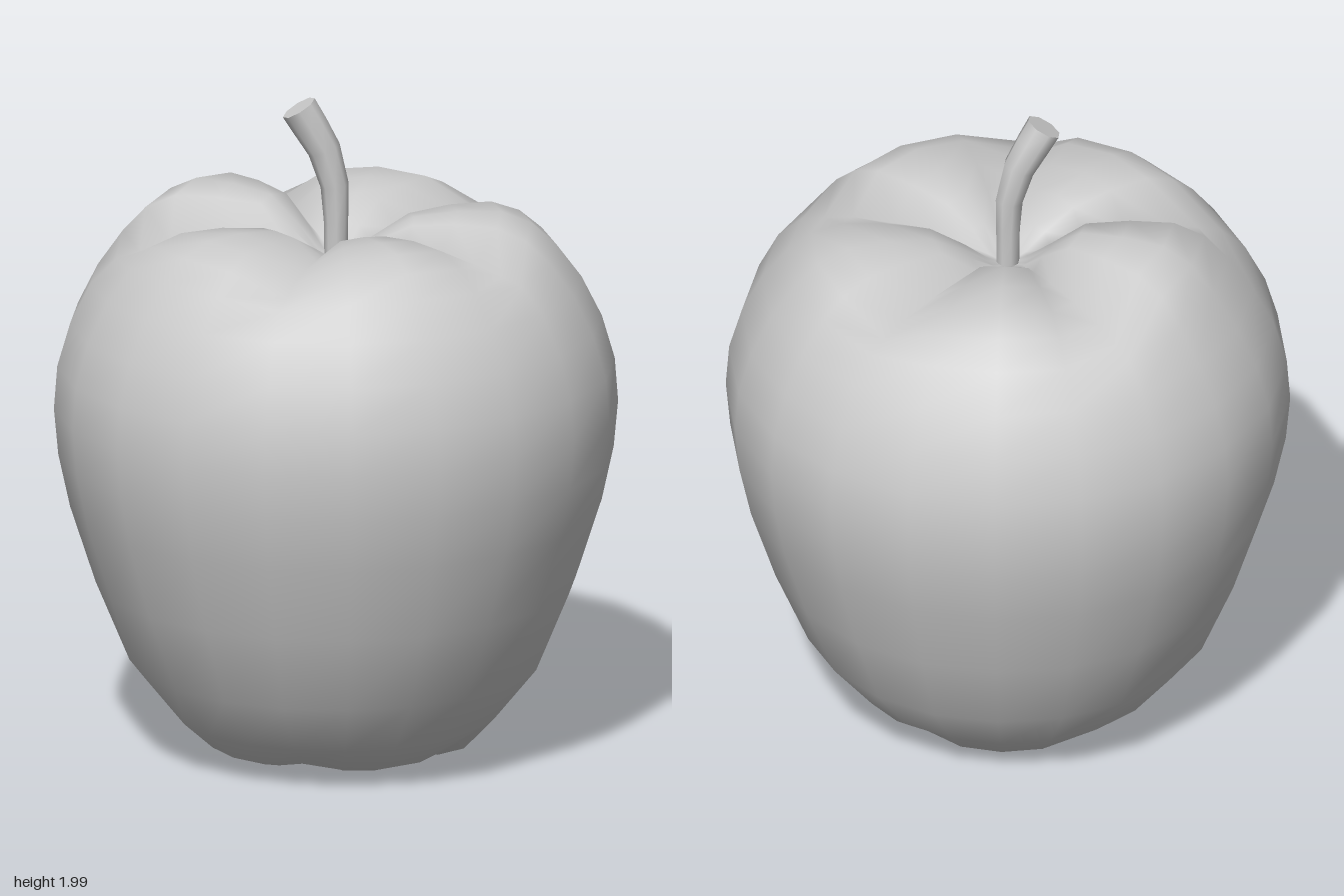
import * as THREE from 'three';

const SIDES = 20;

// Smooth skin over closed rings of points, listed so that faces point outward
function skin(rings) {
  const n = rings[0].length;
  const index = [];
  for (let i = 0; i < rings.length - 1; i++) {
    for (let j = 0; j < n; j++) {
      const k = (j + 1) % n;
      const a = i * n + j, b = i * n + k, c = a + n, d = b + n;
      index.push(a, c, b, b, c, d);
    }
  }
  const geometry = new THREE.BufferGeometry().setFromPoints(rings.flat());
  geometry.setIndex(index);
  geometry.computeVertexNormals();
  return geometry;
}

// Fruit profile from base dimple to stem dimple:
// radius, height, rise of the groove, how far the lobe's own height offset applies
const PROFILE = [
  [0.01, 0.11, 0, 0], [0.09, 0.085, 0.02, 0], [0.2, 0.02, 0.06, 1], [0.31, 0.0, 0.07, 1],
  [0.39, 0.03, 0.035, 0.8], [0.48, 0.13, 0, 0], [0.61, 0.29, 0, 0], [0.71, 0.53, 0, 0],
  [0.785, 0.76, 0, 0], [0.82, 0.92, 0, 0], [0.833, 1.06, 0, 0], [0.823, 1.19, 0, 0],
  [0.785, 1.32, 0, 0], [0.725, 1.44, 0, 0], [0.65, 1.54, -0.025, 0.3], [0.58, 1.605, -0.07, 0.8],
  [0.49, 1.642, -0.085, 1], [0.36, 1.645, -0.08, 1], [0.23, 1.63, -0.07, 1],
  [0.13, 1.575, -0.035, 0.4], [0.06, 1.525, 0, 0], [0.01, 1.51, 0, 0],
];
const TOP_LIFT = [0, 0, 0, 0.038, 0.015];
const BASE_LIFT = [0.002, 0.02, 0.022, 0.025, 0.015];
const GROOVE = [0, 0.12, 1]; // by steps away from the lobe's centre

function fruitGeometry() {
  const rings = PROFILE.map(([r, y, groove, lift]) => {
    const ring = [];
    for (let j = 0; j < SIDES; j++) {
      const angle = (j / SIDES) * Math.PI * 2;
      const lobe = Math.round(j / 4 - 0.001) % 5;
      const step = Math.abs(((j - lobe * 4 + 10) % SIDES + SIDES) % SIDES - 10);
      const g = GROOVE[step];
      const extra = (y > 1 ? TOP_LIFT : BASE_LIFT)[lobe] * lift * (1 - g);
      ring.push(new THREE.Vector3(r * Math.cos(angle), y + groove * g + extra, r * Math.sin(angle)));
    }
    return ring;
  });
  return skin(rings);
}

// Tapered, bent stem: centre x, centre y, radius
const STEM = [
  [0, 1.49, 0.034], [0, 1.62, 0.036], [-0.004, 1.73, 0.042],
  [-0.035, 1.84, 0.049], [-0.075, 1.91, 0.053], [-0.11, 1.968, 0.055],
];

function stemRings() {
  return STEM.map(([x, y, r], i) => {
    const a = STEM[Math.max(i - 1, 0)], b = STEM[Math.min(i + 1, STEM.length - 1)];
    const t = new THREE.Vector2(b[0] - a[0], b[1] - a[1]).normalize();
    return Array.from({ length: 8 }, (_, j) => {
      const angle = (j / 8) * Math.PI * 2;
      const u = r * Math.cos(angle);
      return new THREE.Vector3(x + t.y * u, y - t.x * u, r * Math.sin(angle));
    });
  });
}

export function createModel() {
  const model = new THREE.Group();
  model.name = 'apple';
  const material = new THREE.MeshStandardMaterial({ color: 0xcccccc });

  const add = (name, geometry, parent) => {
    const mesh = new THREE.Mesh(geometry, material);
    mesh.name = name;
    parent.add(mesh);
  };

  // Lobed body with grooves running into both dimples
  add('fruit', fruitGeometry(), model);

  // Stem with a flat cut end
  const stem = new THREE.Group();
  stem.name = 'stem';
  model.add(stem);
  const rings = stemRings();
  const rim = rings[rings.length - 1];
  const [cx, cy] = STEM[STEM.length - 1];
  add('stemShaft', skin(rings), stem);
  add('stemCut', skin([rim, rim.map(() => new THREE.Vector3(cx, cy, 0))]), stem);

  return model;
}
